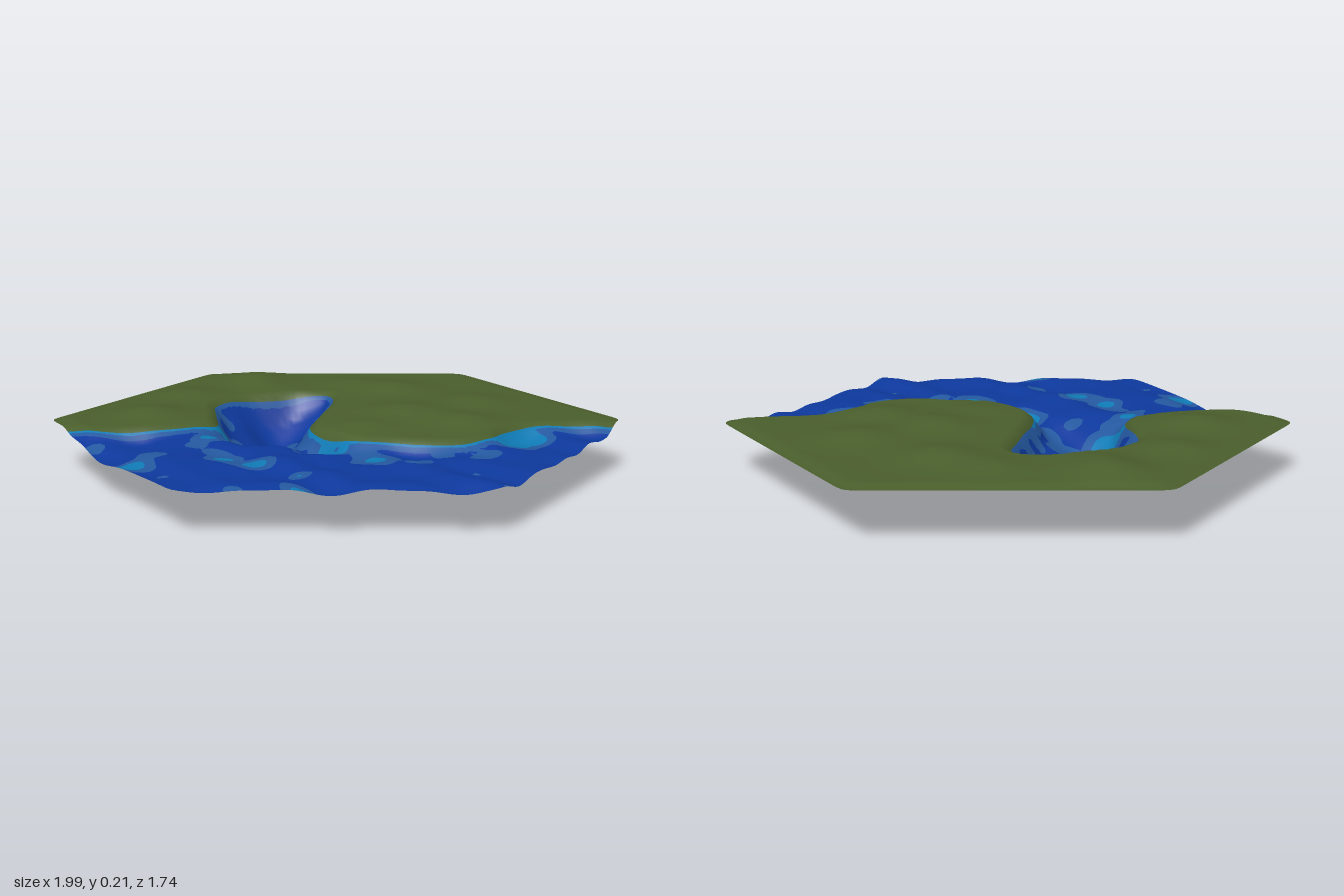
import * as THREE from 'three';

const flat = (name, color) => {
  const m = new THREE.MeshStandardMaterial({ color, side: THREE.DoubleSide });
  m.name = name;
  return m;
};
const smooth = THREE.MathUtils.smoothstep;
const bell = (x, z, cx, cz, r) => Math.exp(-((x - cx) ** 2 + (z - cz) ** 2) / (r * r));

// Shoreline from the left edge, round the deep inlet, to the right edge (x, z)
const shore = [
  [-1.1, 0.09], [-0.92, 0.14], [-0.8, 0.19], [-0.6, 0.15], [-0.5, 0.11], [-0.42, 0.05], [-0.43, -0.1],
  [-0.44, -0.25], [-0.37, -0.35], [-0.25, -0.41], [-0.13, -0.45], [-0.03, -0.435], [-0.01, -0.38],
  [-0.04, -0.2], [-0.06, -0.1], [-0.09, 0.05], [-0.08, 0.16], [0, 0.27], [0.08, 0.33], [0.2, 0.345],
  [0.3, 0.37], [0.42, 0.36], [0.52, 0.29], [0.57, 0.2], [0.68, 0.11], [0.8, 0.09], [0.96, 0.07], [1.1, 0.05],
];
const curve = new THREE.CatmullRomCurve3(shore.map(([x, z]) => new THREE.Vector3(x, 0, z)));
const outline = curve.getPoints(110).map((p) => [p.x, p.z]);
outline.push([1.3, 1.3], [-1.3, 1.3]);

// Signed distance to the shore: positive on water
function water(x, z) {
  let best = 9, inside = false;
  for (let i = 0, j = outline.length - 1; i < outline.length; j = i++) {
    const [ax, az] = outline[j], [bx, bz] = outline[i];
    const dx = bx - ax, dz = bz - az;
    const t = Math.min(1, Math.max(0, ((x - ax) * dx + (z - az) * dz) / (dx * dx + dz * dz)));
    best = Math.min(best, Math.hypot(x - ax - t * dx, z - az - t * dz));
    if (az > z !== bz > z && x < ax + ((z - az) / dz) * dx) inside = !inside;
  }
  return inside ? best : -best;
}

// Distance inside a hexagon with softened corners
function hexagon(x, z) {
  let sum = 0;
  for (let i = 0; i < 6; i++) {
    const a = Math.PI / 6 + (i * Math.PI) / 3;
    sum += Math.exp((x * Math.cos(a) + z * Math.sin(a) - 0.872) / 0.012);
  }
  return -0.012 * Math.log(sum);
}

// Hills and hollows: x, z, radius, height
const hills = [
  [-0.31, -0.68, 0.12, 0.03], [-0.55, -0.4, 0.11, 0.02], [-0.66, -0.05, 0.12, 0.027], [0.22, -0.5, 0.13, 0.027],
  [0.05, -0.62, 0.1, 0.015], [0.5, -0.25, 0.13, 0.026], [0.25, -0.08, 0.14, 0.028], [0.45, 0.08, 0.12, 0.024],
  [0.1, 0.15, 0.1, 0.015], [-0.28, -0.55, 0.09, 0.012],
];
const hollows = [
  [-0.2, -0.28, 0.15, 0.125], [-0.3, -0.02, 0.12, 0.1], [-0.2, -0.12, 0.12, 0.06], [-0.05, 0.24, 0.1, 0.045],
  [-0.17, 0.12, 0.13, 0.04], [0.62, 0.2, 0.1, 0.02], [-0.72, 0.35, 0.12, 0.02], [0.22, 0.45, 0.1, 0.015],
];
const total = (list, x, z) => list.reduce((s, [cx, cz, r, h]) => s + h * bell(x, z, cx, cz, r), 0);

function height(x, z) {
  const d = water(x, z), inner = smooth(hexagon(x, z), 0, 0.06);
  const land = 0.174 + inner * (0.009 + total(hills, x, z));
  const ripple = 0.006 * Math.sin(17 * x + 5 * Math.sin(4 * z)) + 0.005 * Math.sin(21 * z + 4 * Math.sin(5 * x))
    + 0.003 * Math.sin(31 * x - 23 * z);
  const sea = 0.14 + 0.006 * inner + ripple - total(hollows, x, z);
  return Math.max(0, THREE.MathUtils.lerp(land, sea, smooth(d, -0.035, 0.055)));
}

// Pale patches of water: x, z, radius, strength (above 1 has a bright middle)
const patches = [
  [-0.31, -0.05, 0.08, 1.5], [-0.34, 0.02, 0.09, 1.5], [-0.05, 0.28, 0.08, 1.6], [0.02, 0.34, 0.05, 1.3],
  [0.6, 0.25, 0.09, 1.6], [0.66, 0.16, 0.08, 1.5], [0.13, 0.47, 0.09, 1.2], [-0.65, 0.53, 0.08, 1.4],
  [-0.25, 0.54, 0.07, 1.4], [-0.38, 0.44, 0.07, 1.3], [-0.45, 0.2, 0.06, 1.3], [-0.12, 0.68, 0.045, 1.1],
  [-0.13, 0.87, 0.06, 1.2], [-0.05, -0.34, 0.05, 0.9], [-0.08, -0.2, 0.05, 0.9], [-0.1, -0.06, 0.06, 0.9],
  [-0.18, 0.04, 0.07, 0.9], [-0.14, 0.14, 0.07, 0.9], [-0.4, -0.18, 0.06, 0.9], [-0.4, 0.13, 0.07, 0.9],
  [-0.46, 0.28, 0.05, 0.9], [-0.4, 0.36, 0.06, 0.9], [-0.31, 0.5, 0.06, 0.9], [-0.62, 0.42, 0.07, 0.9],
  [0.08, 0.41, 0.06, 0.9], [0.28, 0.51, 0.06, 0.9], [0.34, 0.42, 0.05, 0.9], [0.48, 0.42, 0.07, 0.9],
  [-0.8, 0.27, 0.05, 0.8], [-0.25, 0.2, 0.05, 0.8], [-0.55, 0.67, 0.025, 0.9], [0.43, 0.62, 0.02, 0.9],
  [0.52, 0.85, 0.03, 0.9], [-0.33, 0.85, 0.04, 0.9],
];
function shallow(x, z) {
  const wx = x + 0.015 * Math.sin(27 * z), wz = z + 0.015 * Math.sin(25 * x);
  const coast = 1.35 * Math.exp(-Math.abs(water(x, z)) / 0.025) * (z > 0 ? 1 : 0.6);
  const sum = patches.reduce((s, [cx, cz, r, h]) => s + (h * bell(wx, wz, cx, cz, r)) ** 4, coast ** 4);
  return sum ** 0.25;
}

// Part of a polygon where sign * (field - level) is positive
function clip(poly, values, level, sign) {
  const out = [];
  poly.forEach((p, i) => {
    const k = (i + 1) % poly.length, q = poly[k];
    const a = sign * (values[i] - level), b = sign * (values[k] - level);
    if (a >= 0) out.push(p);
    if (a * b < 0) out.push([p[0] + ((q[0] - p[0]) * a) / (a - b), p[1] + ((q[1] - p[1]) * a) / (a - b)]);
  });
  return out;
}
function split(poly, field, level) {
  if (poly.length < 3) return [[], []];
  const values = poly.map(([x, z]) => field(x, z));
  return [clip(poly, values, level, 1), clip(poly, values, level, -1)];
}

// Surface lifted from flat polygons, with normals taken from the slope
function surface(name, polys, material) {
  const pos = [], nor = [], seen = new Map(), index = [], e = 0.006;
  const vertex = ([x, z]) => {
    const key = x.toFixed(5) + ',' + z.toFixed(5);
    if (!seen.has(key)) {
      seen.set(key, pos.length / 3);
      pos.push(x, height(x, z), z);
      const n = new THREE.Vector3(height(x - e, z) - height(x + e, z), 2 * e, height(x, z - e) - height(x, z + e));
      nor.push(...n.normalize().toArray());
    }
    return seen.get(key);
  };
  for (const poly of polys) {
    const ids = poly.map(vertex);
    for (let i = 1; i + 1 < ids.length; i++) index.push(ids[0], ids[i], ids[i + 1]);
  }
  const g = new THREE.BufferGeometry();
  g.setAttribute('position', new THREE.Float32BufferAttribute(pos, 3));
  g.setAttribute('normal', new THREE.Float32BufferAttribute(nor, 3));
  g.setIndex(index);
  const mesh = new THREE.Mesh(g, material);
  mesh.name = name;
  return mesh;
}

export function createModel() {
  const group = new THREE.Group();
  group.name = 'coastalHexTile';
  const parts = { land: [], deepWater: [], shallowWater: [], brightShallows: [] };
  const keep = (list, poly) => poly.length > 2 && list.push(poly);

  // Cut a fine grid by the tile edge, the shore and the depth bands
  const s = 0.02;
  for (let i = -51; i < 51; i++) {
    for (let j = -45; j < 45; j++) {
      const [a, b, c, d] = [[i, j], [i, j + 1], [i + 1, j + 1], [i + 1, j]].map(([u, v]) => [u * s, v * s]);
      for (const tri of [[a, b, c], [a, c, d]]) {
        const [tile] = split(tri, hexagon, 0);
        const [wet, dry] = split(tile, water, 0);
        const [pale, deep] = split(wet, shallow, 0.5);
        const [bright, mid] = split(pale, shallow, 1);
        keep(parts.land, dry);
        keep(parts.deepWater, deep);
        keep(parts.shallowWater, mid);
        keep(parts.brightShallows, bright);
      }
    }
  }
  const materials = {
    land: flat('grass green', 0x4a5e2c),
    deepWater: flat('deep blue', 0x0d389c),
    shallowWater: flat('mid blue', 0x24589f),
    brightShallows: flat('bright blue', 0x0f7ab4),
  };
  for (const name in parts) group.add(surface(name, parts[name], materials[name]));
  return group;
}
